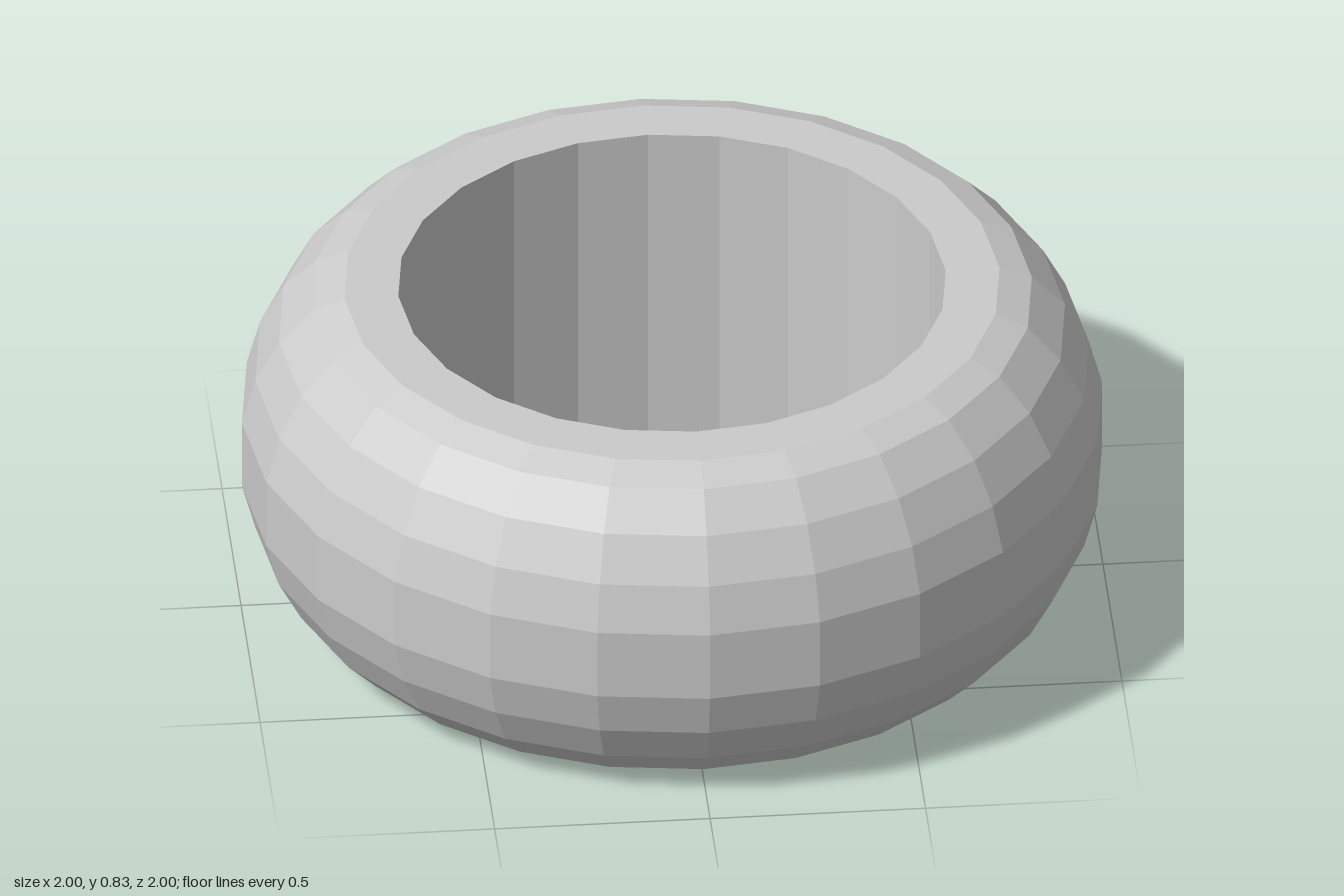
import * as THREE from 'three';

export function createModel() {
  const group = new THREE.Group();
  const height = 0.83, mid = height / 2, bore = 0.635;

  // Lower half of the rounded outer wall: [radius, y]
  const lower = [[0.76, 0], [0.835, 0.03], [0.912, 0.11], [0.967, 0.214], [0.998, 0.328]];
  const upper = lower.map(([r, y]) => [r, 2 * mid - y]).reverse();

  // Closed profile: bore, flat bottom, bulging wall, flat top, back to the bore
  const profile = [[bore, 0], ...lower, ...upper, [bore, height], [bore, 0]]
    .map(([r, y]) => new THREE.Vector2(r, y));

  const ring = new THREE.Mesh(
    new THREE.LatheGeometry(profile, 24),
    new THREE.MeshStandardMaterial({ color: 0xcccccc, flatShading: true })
  );
  ring.name = 'ring';
  group.add(ring);
  return group;
}
